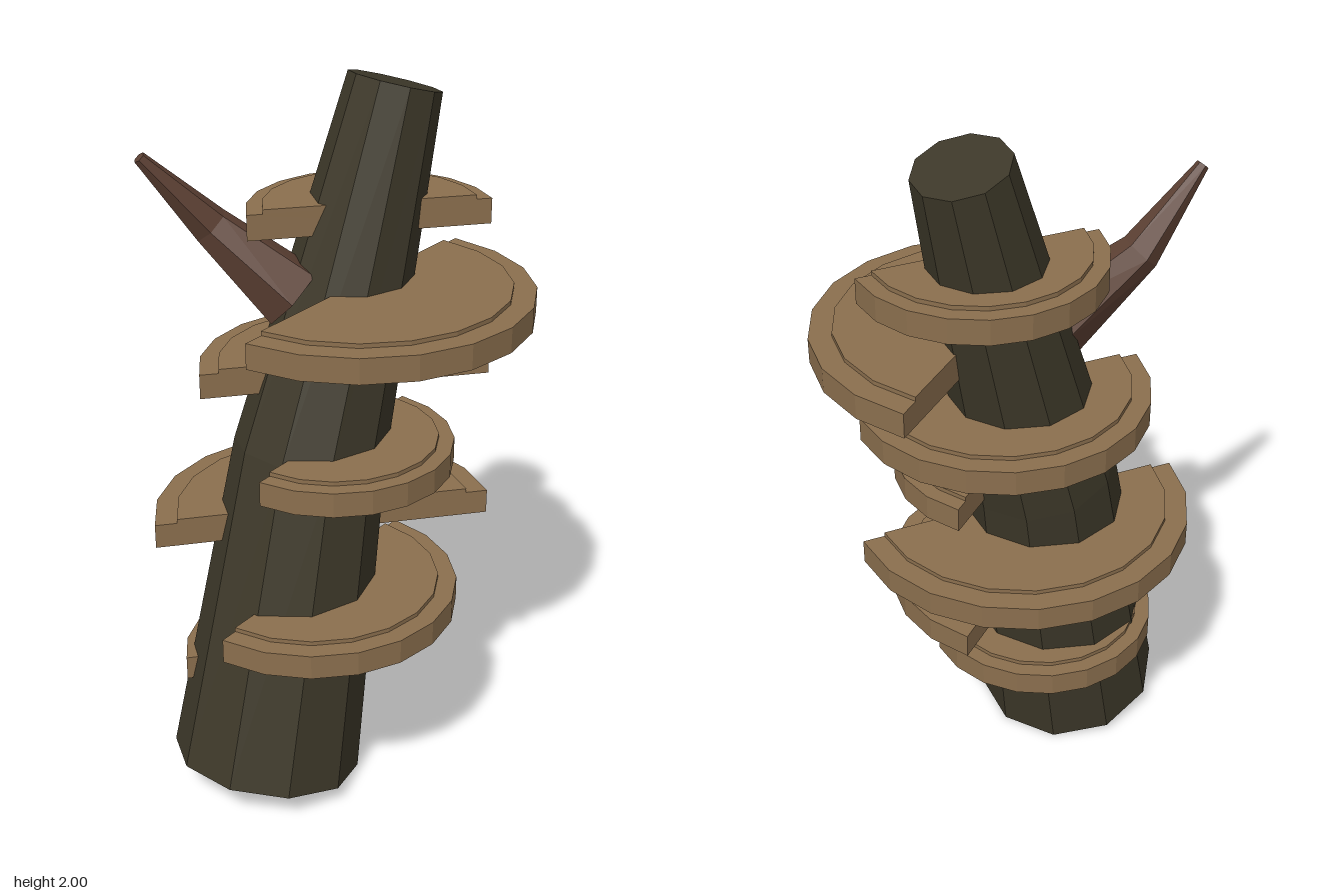
import * as THREE from 'three';

const bark = new THREE.MeshStandardMaterial({ color: 0x3d3829, flatShading: true });
bark.name = 'dark bark';
const wood = new THREE.MeshStandardMaterial({ color: 0x8b6f4e, flatShading: true });
wood.name = 'tan fungus';
const twig = new THREE.MeshStandardMaterial({ color: 0x5c4033, flatShading: true });
twig.name = 'reddish branch';

// Tapered limb: a cylinder whose rings are moved onto a bent path
function limb(name, rings, sides, material) {
  const n = rings.length - 1;
  const centres = rings.map(([x, y, z]) => new THREE.Vector3(x, y, z));
  const turns = centres.map((c, i) => {
    const along = new THREE.Vector3();
    if (i > 0) along.add(c.clone().sub(centres[i - 1]).normalize());
    if (i < n) along.add(centres[i + 1].clone().sub(c).normalize());
    return new THREE.Quaternion().setFromUnitVectors(new THREE.Vector3(0, 1, 0), along.normalize());
  });
  const geometry = new THREE.CylinderGeometry(1, 1, 1, sides, n).rotateY(Math.PI / 2);
  const pos = geometry.attributes.position;
  const v = new THREE.Vector3();
  for (let k = 0; k < pos.count; k++) {
    v.fromBufferAttribute(pos, k);
    const i = Math.round((v.y + 0.5) * n);
    v.setY(0).multiplyScalar(rings[i][3]).applyQuaternion(turns[i]).add(centres[i]);
    pos.setXYZ(k, v.x, v.y, v.z);
  }
  geometry.computeVertexNormals();
  const mesh = new THREE.Mesh(geometry, material);
  mesh.name = name;
  return mesh;
}

// Solid half disc with ten straight rim facets
function halfDisc(name, radius, height, startAngle) {
  const shape = new THREE.Shape();
  for (let i = 0; i <= 10; i++) {
    const a = startAngle + (i / 10) * Math.PI;
    const x = radius * Math.cos(a), y = radius * Math.sin(a);
    if (i === 0) shape.moveTo(x, y);
    else shape.lineTo(x, y);
  }
  shape.closePath();
  const geometry = new THREE.ExtrudeGeometry(shape, { depth: height, bevelEnabled: false });
  const mesh = new THREE.Mesh(geometry.rotateX(-Math.PI / 2), wood);
  mesh.name = name;
  return mesh;
}

// Shelf: thick plate with a smaller raised layer on top
function shelf(index, x, y, radius, front) {
  const yaw = 0.36;
  const start = front ? Math.PI + yaw : -yaw;
  const group = new THREE.Group();
  group.name = (front ? 'frontShelf' : 'backShelf') + index;
  const plate = halfDisc('shelfPlate', radius, 0.07, start);
  const layer = halfDisc('shelfTopLayer', radius * 0.87, 0.012, start);
  layer.position.y = 0.07;
  group.add(plate, layer);
  group.position.set(x, y, 0);
  return group;
}

export function createModel() {
  const model = new THREE.Group();
  model.name = 'stumpWithShelves';

  // Leaning trunk: x, y, z, radius of each ring
  model.add(limb('trunk', [
    [-0.265, 0.055, 0, 0.27],
    [-0.07, 0.97, -0.057, 0.213],
    [0.212, 1.964, -0.072, 0.127],
  ], 10, bark));

  // Bent side branch
  model.add(limb('branch', [
    [-0.1, 1.43, -0.085, 0.1],
    [-0.27, 1.62, -0.215, 0.055],
    [-0.445, 1.82, -0.257, 0.017],
  ], 6, twig));

  // Shelves alternate back and front: x, bottom height, radius
  [
    [-0.145, 0.318, 0.33],
    [-0.095, 0.53, 0.405],
    [-0.06, 0.743, 0.475],
    [-0.025, 0.955, 0.33],
    [0.015, 1.17, 0.402],
    [0.052, 1.38, 0.475],
    [0.09, 1.595, 0.33],
  ].forEach(([x, y, r], i) => model.add(shelf(i + 1, x, y, r, i % 2 === 1)));

  return model;
}
